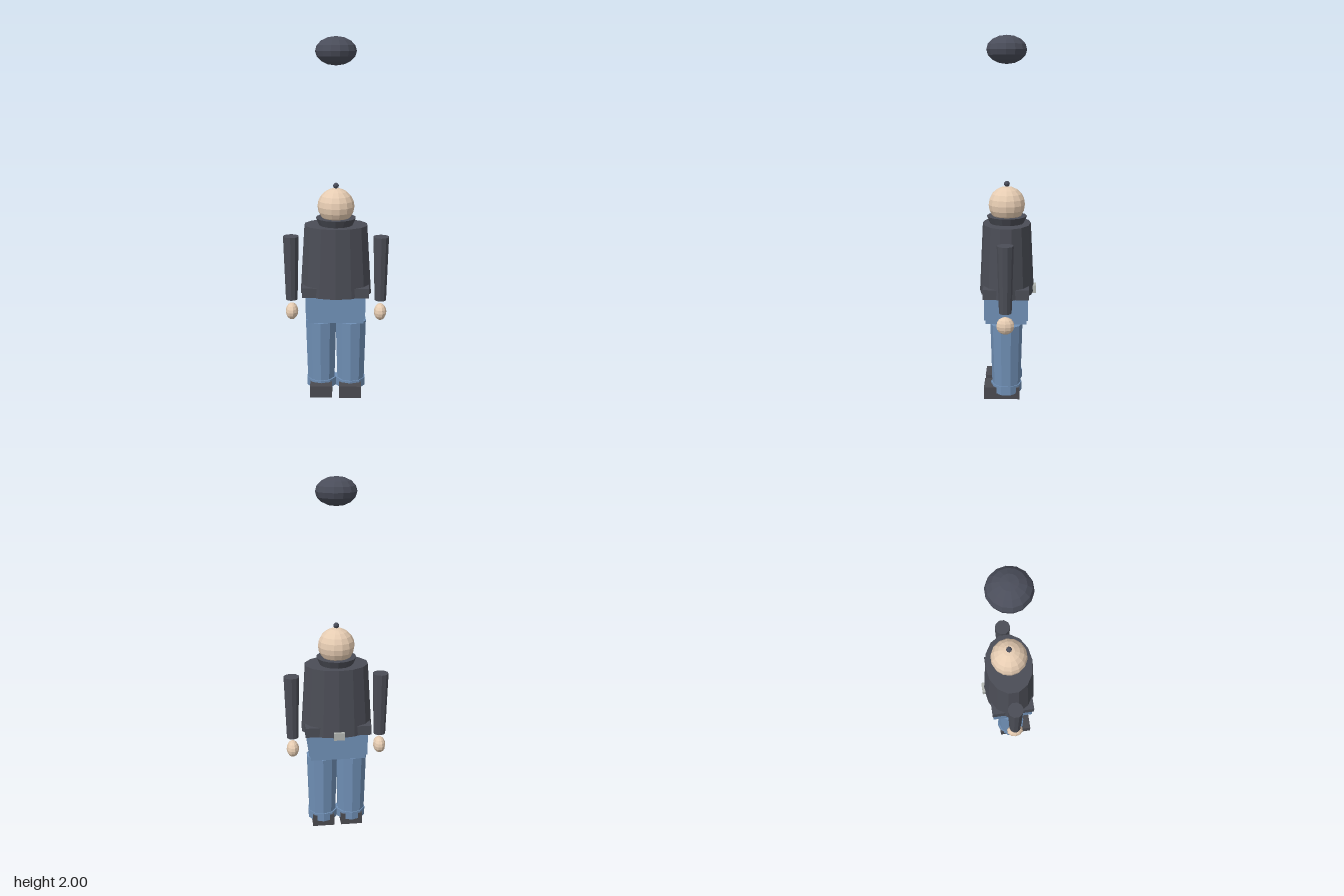
import * as THREE from 'three';

const mat = (color) => new THREE.MeshStandardMaterial({ color, flatShading: true });

export function createModel() {
  const model = new THREE.Group();
  const jacket = mat(0x4b4d56), denim = mat(0x6f8fb5), skin = mat(0xe6ccb2);
  const wool = mat(0x4a4d5a), leather = mat(0x4a4a50), metal = mat(0xb2b6b2);
  const Z = 0.005; // depth axis of the body

  const add = (name, geometry, material, x, y, z = Z) => {
    const mesh = new THREE.Mesh(geometry, material);
    mesh.name = name;
    mesh.position.set(x, y, z);
    model.add(mesh);
    return mesh;
  };
  // Box and tapered cylinder given by their bottom and top heights
  const box = (name, m, x, y0, y1, w, d, z) =>
    add(name, new THREE.BoxGeometry(w, y1 - y0, d), m, x, (y0 + y1) / 2, z);
  const taper = (name, m, x, y0, y1, rTop, rBottom, sides) =>
    add(name, new THREE.CylinderGeometry(rTop, rBottom, y1 - y0, sides), m, x, (y0 + y1) / 2);
  const ball = (name, m, x, y, rx, ry, rz, sides, rings) =>
    add(name, new THREE.SphereGeometry(1, sides, rings).scale(rx, ry, rz), m, x, y);

  // Floating cap, bobble and head
  ball('cap', wool, 0, 1.925, 0.11, 0.075, 0.11, 14, 8);
  ball('bobble', wool, 0, 1.208, 0.016, 0.016, 0.016, 8, 6);
  ball('head', skin, 0, 1.094, 0.102, 0.1, 0.102, 14, 10);

  // Jacket
  taper('collar', jacket, 0, 0.97, 1.03, 0.112, 0.085, 14);
  taper('jacketBody', jacket, 0, 0.6, 0.99, 0.178, 0.203, 14).scale.z = 0.75;
  box('jacketHem', jacket, 0, 0.6, 0.655, 0.37, 0.25, Z);
  box('backBuckle', metal, 0, 0.592, 0.635, 0.06, 0.04, -0.139);

  // Trouser seat
  box('hips', denim, 0, 0.475, 0.61, 0.33, 0.24, Z);
  box('seat', denim, 0, 0.45, 0.48, 0.31, 0.225, Z);

  // Paired limbs
  for (const [side, s] of [['left', 1], ['right', -1]]) {
    taper(side + 'Sleeve', jacket, s * 0.252, 0.55, 0.92, 0.045, 0.034, 10);
    ball(side + 'Hand', skin, s * 0.252, 0.478, 0.036, 0.048, 0.05, 10, 8);
    taper(side + 'Leg', denim, s * 0.085, 0.03, 0.434, 0.09, 0.079, 10);
    taper(side + 'Cuff', denim, s * 0.083, 0.035, 0.083, 0.087, 0.087, 10);
    box(side + 'Shoe', leather, s * 0.083, 0, 0.07, 0.125, 0.2, 0.03);
  }
  return model;
}
